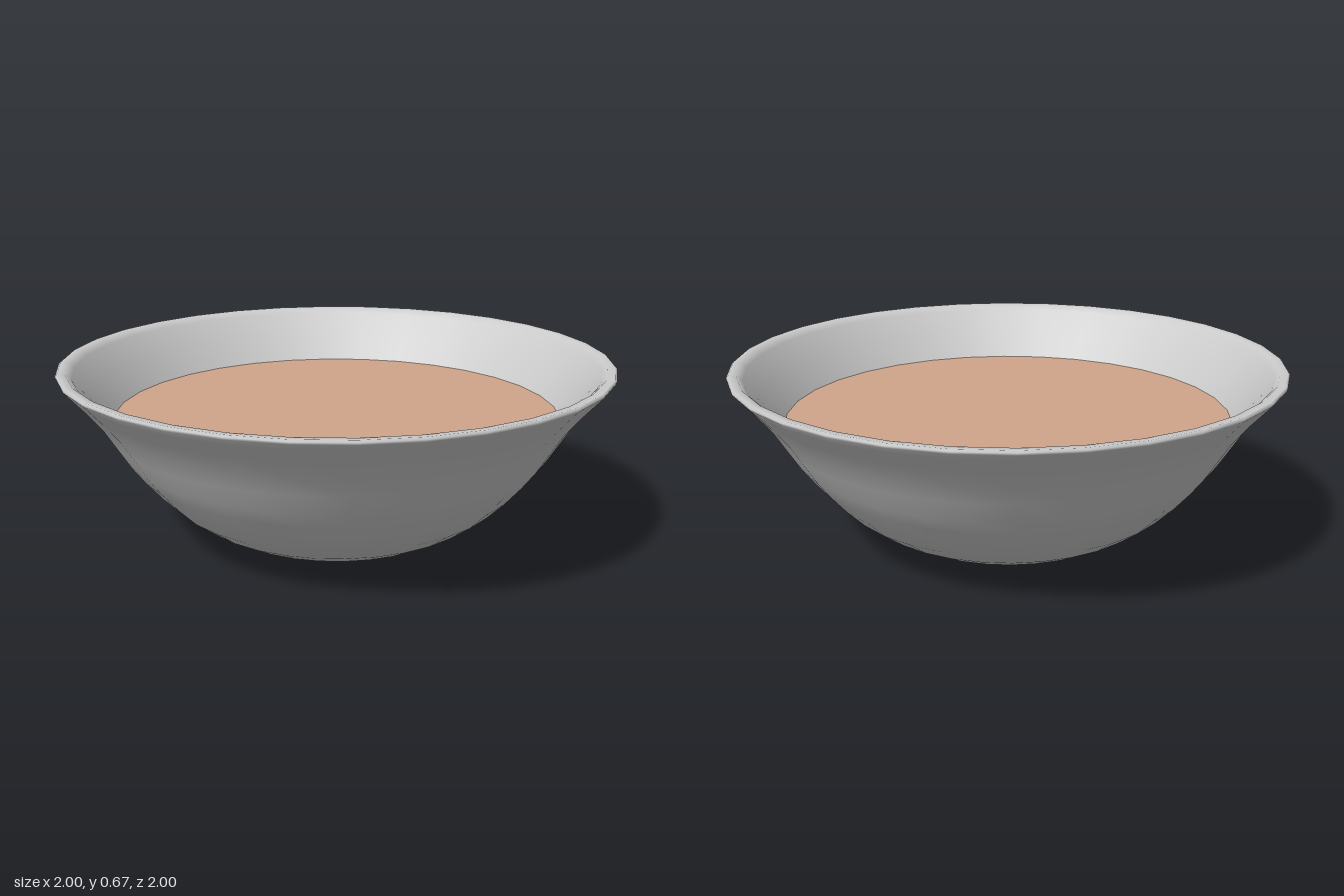
import * as THREE from 'three';

const SEGMENTS = 32;

export function createModel() {
  const group = new THREE.Group();
  group.name = 'bowlOfSoup';

  // Bowl wall: outside from the base up, over the rim, then down the inside
  const profile = [
    [0, 0], [0.2, 0.003], [0.28, 0.01], [0.36, 0.026], [0.45, 0.062], [0.53, 0.106],
    [0.61, 0.165], [0.675, 0.23], [0.735, 0.3], [0.78, 0.36], [0.83, 0.44],
    [0.87, 0.505], [0.93, 0.58], [0.98, 0.636], [0.998, 0.656],
    [1, 0.664], [0.993, 0.67], [0.965, 0.668], [0.945, 0.65],
    [0.885, 0.575], [0.84, 0.51], [0.79, 0.44], [0.74, 0.36], [0.64, 0.24],
    [0.52, 0.15], [0.36, 0.075], [0.2, 0.05], [0, 0.045],
  ].map(([r, y]) => new THREE.Vector2(r, y));
  const bowl = new THREE.Mesh(
    new THREE.LatheGeometry(profile, SEGMENTS),
    new THREE.MeshStandardMaterial({ color: 0xcccccc }),
  );
  bowl.name = 'bowl';
  group.add(bowl);

  // Flat liquid surface reaching the inner wall
  const soup = new THREE.Mesh(
    new THREE.CircleGeometry(0.815, SEGMENTS).rotateX(-Math.PI / 2),
    new THREE.MeshStandardMaterial({ color: 0xcfa58a, side: THREE.DoubleSide }),
  );
  soup.name = 'soupSurface';
  soup.position.y = 0.472;
  group.add(soup);

  return group;
}
